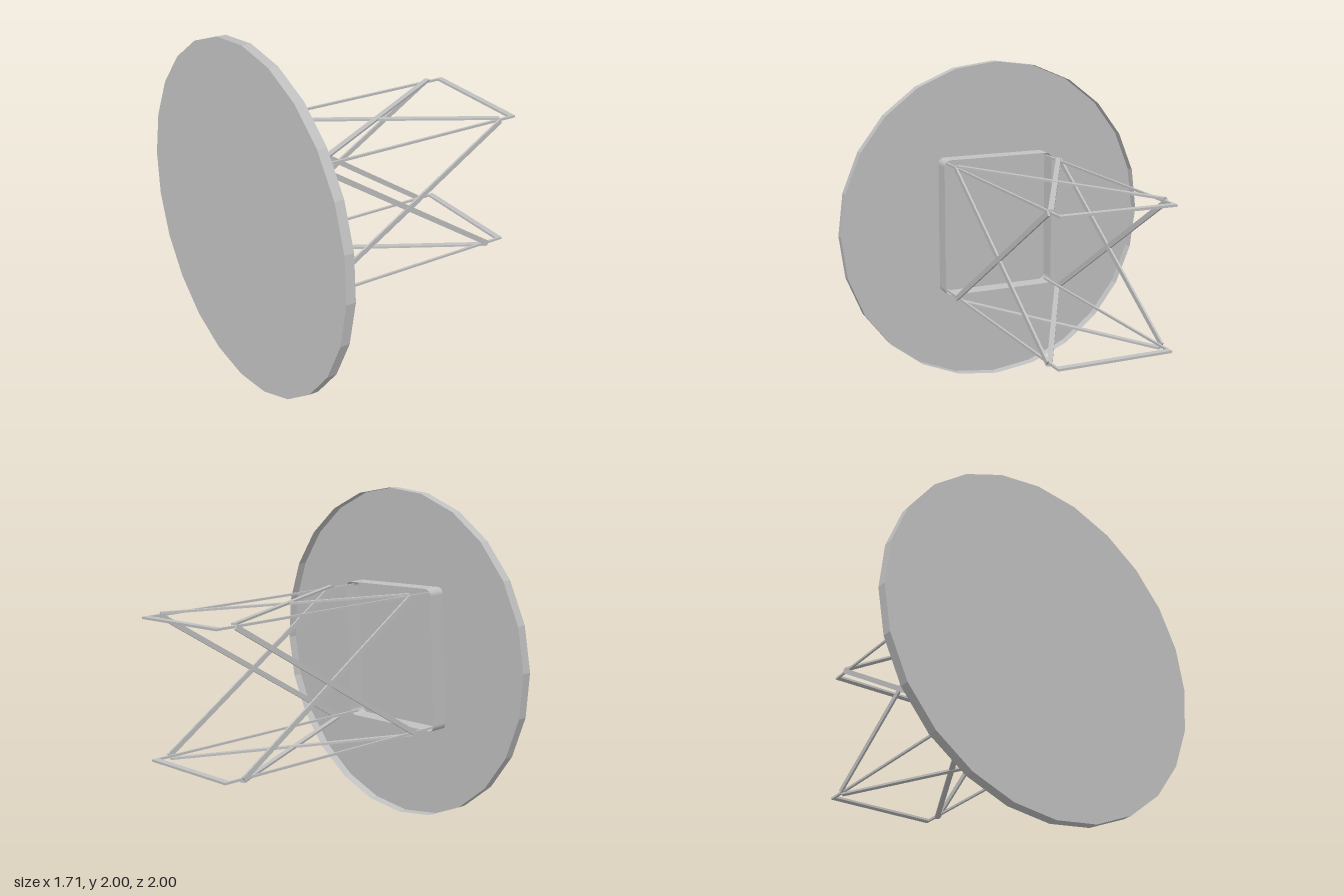
import * as THREE from 'three';

const grey = new THREE.MeshStandardMaterial({ color: 0xc0c0c0, side: THREE.DoubleSide });
grey.name = 'grey';

// Half spacing of the legs, leg thickness, and the plane of the top's outer face
const U = 0.4, V = 0.333, T = 0.013, FACE = -0.028;

function addMesh(parent, name, geometry) {
  const mesh = new THREE.Mesh(geometry, grey);
  mesh.name = name;
  parent.add(mesh);
  return mesh;
}

function roundedRect(path, hu, hv, r) {
  path.moveTo(-hv + r, -hu);
  path.lineTo(hv - r, -hu);
  path.absarc(hv - r, -hu + r, r, -Math.PI / 2, 0);
  path.lineTo(hv, hu - r);
  path.absarc(hv - r, hu - r, r, 0, Math.PI / 2);
  path.lineTo(-hv + r, hu);
  path.absarc(-hv + r, hu - r, r, Math.PI / 2, Math.PI);
  path.lineTo(-hv, -hu + r);
  path.absarc(-hv + r, -hu + r, r, Math.PI, Math.PI * 1.5);
  return path;
}

export function createModel() {
  const model = new THREE.Group();
  model.name = 'tippedRoundTable';

  // Table space: x runs from the top to the feet, y and z span the top
  const table = new THREE.Group();
  table.name = 'table';
  const axis = new THREE.Vector3(1, -0.047, -0.049).normalize();
  const side = new THREE.Vector3(0.049, -0.014, 1);
  side.addScaledVector(axis, -side.dot(axis)).normalize();
  const up = new THREE.Vector3().crossVectors(side, axis);
  table.quaternion.setFromRotationMatrix(new THREE.Matrix4().makeBasis(axis, up, side));
  table.position.set(-0.764, 1, 0);
  model.add(table);

  // Round top: a thin sheet with a faceted rim, open towards the legs
  addMesh(table, 'tableTop', new THREE.CircleGeometry(1, 24).rotateY(-Math.PI / 2)).position.x = FACE;
  const rim = new THREE.CylinderGeometry(1, 1, 0.056, 24, 1, true).rotateZ(-Math.PI / 2).toNonIndexed();
  rim.computeVertexNormals();
  addMesh(table, 'tableRim', rim);

  // Thin rounded frame standing on the underside of the top
  const outline = roundedRect(new THREE.Shape(), 0.425, 0.36, 0.04);
  outline.holes.push(roundedRect(new THREE.Path(), 0.422, 0.357, 0.037));
  const frame = new THREE.ExtrudeGeometry(outline, { depth: 0.105, bevelEnabled: false, curveSegments: 4 });
  addMesh(table, 'underFrame', frame.rotateY(Math.PI / 2)).position.x = FACE;

  // Four slender legs and two foot bars
  for (const su of [-1, 1]) {
    for (const sv of [-1, 1]) {
      addMesh(table, 'leg', new THREE.BoxGeometry(1.52, T, T)).position.set(0.8, su * U, sv * V);
    }
    addMesh(table, 'footBar', new THREE.BoxGeometry(0.037, T, 2 * V + T)).position.set(1.568, su * U, 0);
  }

  // Crossed flat braces on each of the four sides
  const x0 = 0.22, x1 = 1.47, run = x1 - x0, mid = (x0 + x1) / 2;
  for (const s of [-1, 1]) {
    for (const d of [-1, 1]) {
      const lift = d * 0.001;
      const tall = addMesh(table, 'sideBrace', new THREE.BoxGeometry(Math.hypot(run, 2 * U), 0.03, 0.012));
      tall.rotation.z = d * Math.atan2(2 * U, run);
      tall.position.set(mid, 0, s * (V + 0.013 + lift));
      const wide = addMesh(table, 'crossBrace', new THREE.BoxGeometry(Math.hypot(run, 2 * V), 0.012, 0.03));
      wide.rotation.y = d * Math.atan2(2 * V, run);
      wide.position.set(mid, s * (U + 0.013 + lift), 0);
    }
  }
  return model;
}
